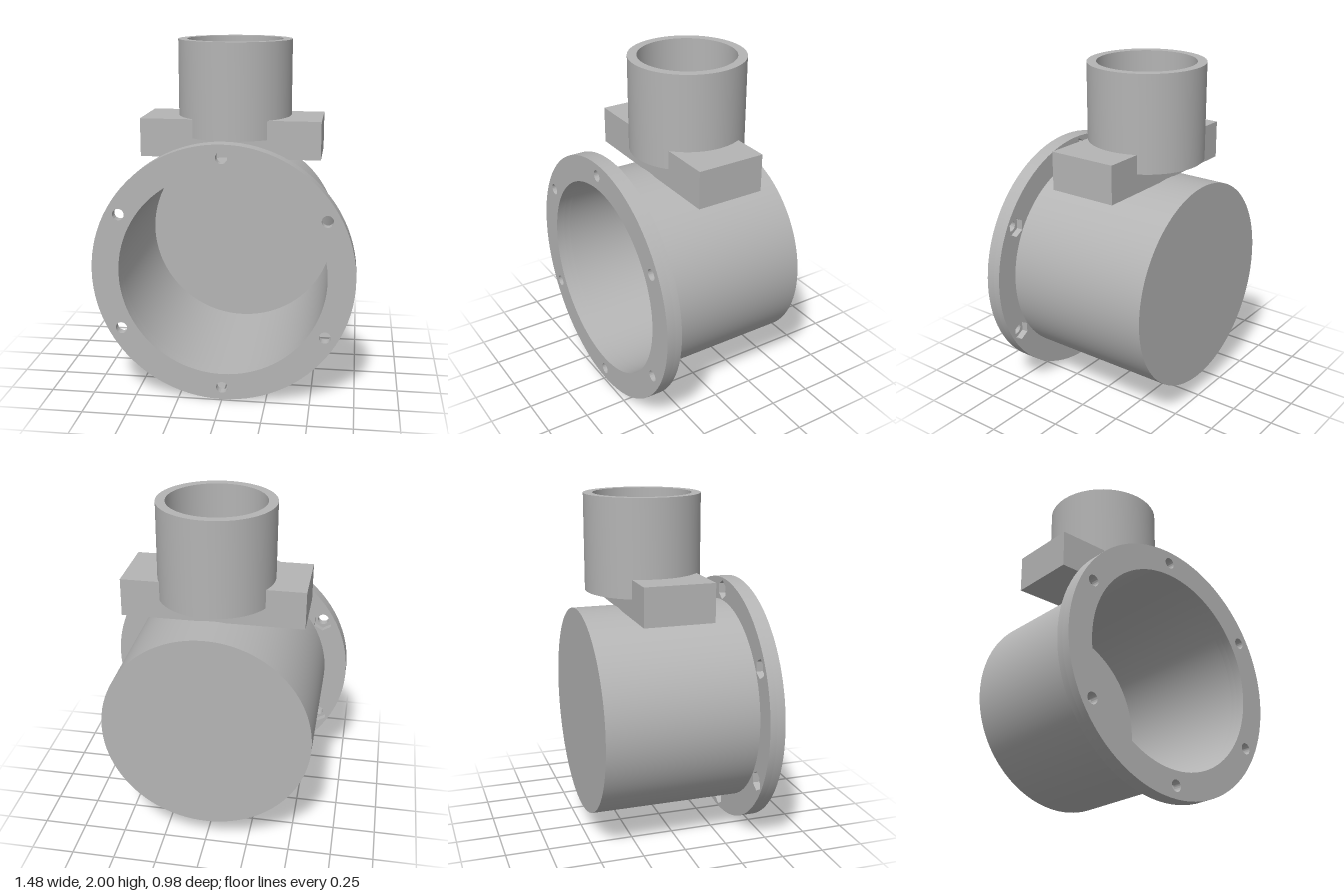
import * as THREE from 'three';
import { toCreasedNormals } from 'three/addons/utils/BufferGeometryUtils.js';

const SEGMENTS = 96;
const AXIS_Y = 0.74; // height of the housing axis
const BORE = 0.585;
const BOLT_CIRCLE = 0.667;

const grey = new THREE.MeshStandardMaterial({ color: 0xb4b4b4 });
grey.name = 'grey';

function addMesh(parent, name, geometry, x, y, z) {
  const mesh = new THREE.Mesh(geometry, grey);
  mesh.name = name;
  mesh.position.set(x, y, z);
  parent.add(mesh);
  return mesh;
}

// Solid of revolution about y with sharp corners
function turned(profile) {
  const points = profile.map(([r, y]) => new THREE.Vector2(r, y));
  return toCreasedNormals(new THREE.LatheGeometry(points, SEGMENTS), 0.6);
}

function circle(path, x, y, r) {
  path.absarc(x, y, r, 0, Math.PI * 2, false);
  return path;
}

// Flange ring pierced by six holes, round or hexagonal
function flangePlate(depth, makeHole) {
  const shape = circle(new THREE.Shape(), 0, 0, 0.74);
  shape.holes.push(circle(new THREE.Path(), 0, 0, BORE));
  for (let i = 0; i < 6; i++) {
    const a = Math.PI / 6 + (i * Math.PI) / 3;
    shape.holes.push(makeHole(BOLT_CIRCLE * Math.cos(a), BOLT_CIRCLE * Math.sin(a)));
  }
  const geometry = new THREE.ExtrudeGeometry(shape, {
    depth, bevelEnabled: false, curveSegments: SEGMENTS / 2,
  });
  return toCreasedNormals(geometry, 0.6);
}

const boltHole = (x, y) => circle(new THREE.Path(), x, y, 0.033);

function nutPocket(x, y) {
  const corners = [];
  for (let i = 0; i < 6; i++) {
    const a = Math.PI / 6 + (i * Math.PI) / 3;
    corners.push(new THREE.Vector2(x + 0.058 * Math.cos(a), y + 0.058 * Math.sin(a)));
  }
  return new THREE.Path(corners);
}

export function createModel() {
  const model = new THREE.Group();
  model.name = 'flangedHousing';

  // Thin-walled cup, closed at the back
  const cup = turned([
    [0, -0.49], [0.605, -0.49], [0.605, 0.4],
    [BORE, 0.4], [BORE, -0.47], [0, -0.47],
  ]);
  cup.rotateX(Math.PI / 2);
  addMesh(model, 'housingCup', cup, 0, AXIS_Y, 0);

  // Front flange: bolt holes in front, nut pockets behind
  const flange = new THREE.Group();
  flange.name = 'flange';
  addMesh(flange, 'flangeFront', flangePlate(0.05, boltHole), 0, AXIS_Y, 0.44);
  addMesh(flange, 'flangeBack', flangePlate(0.04, nutPocket), 0, AXIS_Y, 0.4);
  model.add(flange);

  // Mounting block resting on the cup
  addMesh(model, 'mountingBlock', new THREE.BoxGeometry(1.04, 0.22, 0.405), 0, 1.45, -0.0475);

  // Upright open pipe
  const pipe = turned([
    [0.28, 0], [0.333, 0], [0.333, 0.55], [0.28, 0.55], [0.28, 0],
  ]);
  addMesh(model, 'pipe', pipe, 0, 1.45, -0.1);

  return model;
}
